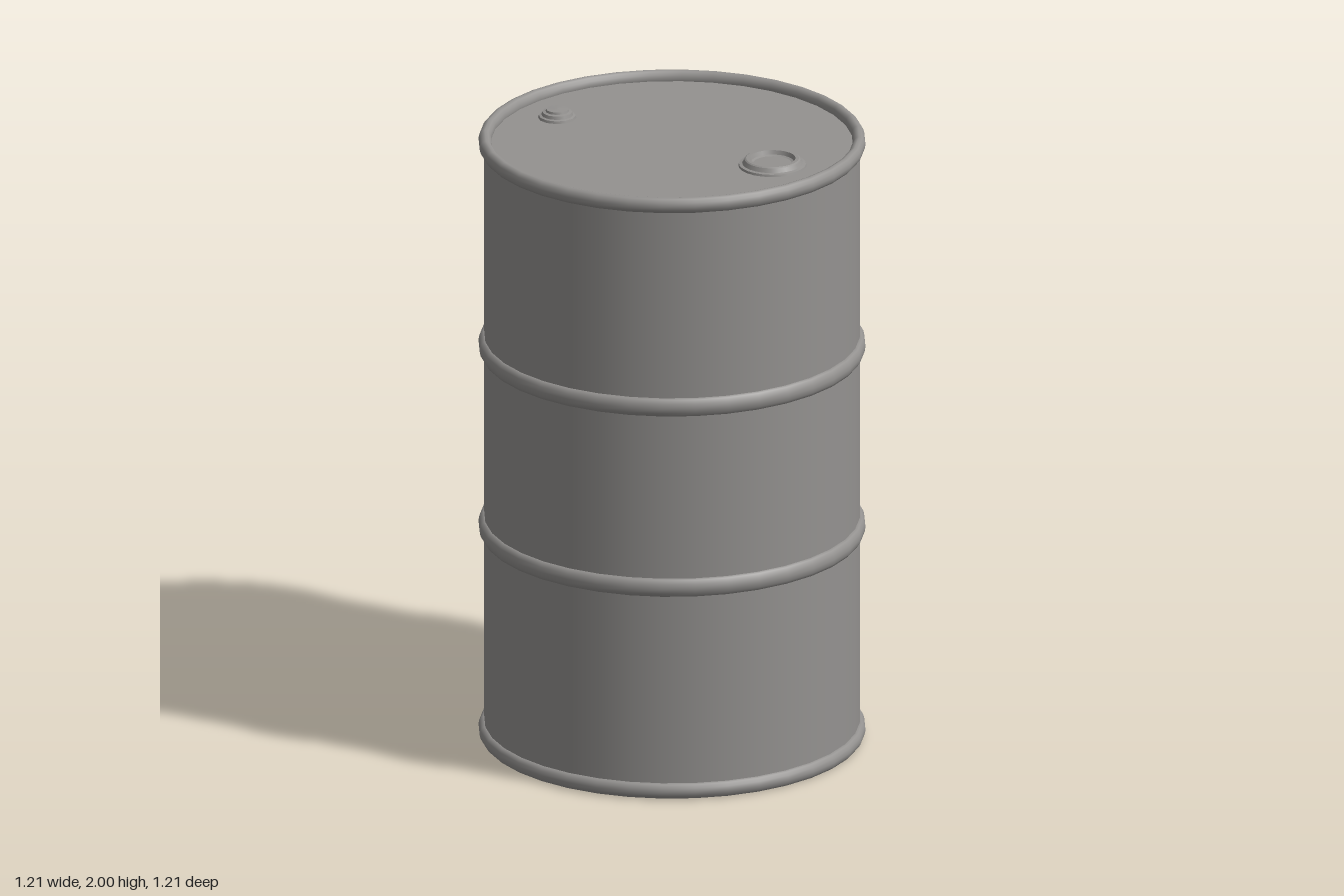
import * as THREE from 'three';

const SIDES = 36;
const LID_Y = 1.968;

export function createModel() {
  const model = new THREE.Group();
  model.name = 'drum';
  const steel = new THREE.MeshStandardMaterial({ color: 0x949290 });
  steel.name = 'grey steel';

  const add = (name, geometry, x = 0, y = 0) => {
    const mesh = new THREE.Mesh(geometry, steel);
    mesh.name = name;
    mesh.position.set(x, y, 0);
    model.add(mesh);
    return mesh;
  };

  // Straight shell with a recessed lid and base
  const height = LID_Y - 0.03;
  add('shell', new THREE.CylinderGeometry(0.588, 0.588, height, SIDES), 0, 0.03 + height / 2);

  // Rolled hoops: two end rims and two stiffening bands
  const hoop = (name, y, halfHeight) => {
    const tube = 0.02;
    const geometry = new THREE.TorusGeometry(0.586, tube, 12, SIDES);
    geometry.scale(1, 1, halfHeight / tube);
    geometry.rotateX(-Math.PI / 2);
    add(name, geometry, 0, y);
  };
  hoop('bottomRim', 0.026, 0.026);
  hoop('lowerBand', 0.702, 0.031);
  hoop('upperBand', 1.302, 0.031);
  hoop('topRim', 1.974, 0.026);

  // Turned fitting; each profile step is its own lathe so that edges stay crisp
  const fitting = (name, x, sides, profile) => {
    const group = new THREE.Group();
    group.name = name;
    group.position.set(x, LID_Y, 0);
    for (let i = 0; i < profile.length - 1; i++) {
      const points = [profile[i], profile[i + 1]].map(([r, y]) => new THREE.Vector2(r, y));
      const mesh = new THREE.Mesh(new THREE.LatheGeometry(points, sides), steel);
      mesh.name = name + 'Step' + (i + 1);
      group.add(mesh);
    }
    model.add(group);
  };

  // Large bung: flange, raised collar and sunken plug
  fitting('largeBung', 0.375, 24, [
    [0.107, 0], [0.105, 0.007], [0.095, 0.009], [0.088, 0.022],
    [0.083, 0.025], [0.072, 0.025], [0.067, 0.012], [0.06, 0.009], [0, 0.009],
  ]);

  // Small bung: flange, collar and capped plug
  fitting('smallBung', -0.428, 12, [
    [0.06, 0], [0.058, 0.008], [0.05, 0.01], [0.047, 0.02],
    [0.037, 0.022], [0.035, 0.029], [0, 0.031],
  ]);

  return model;
}
